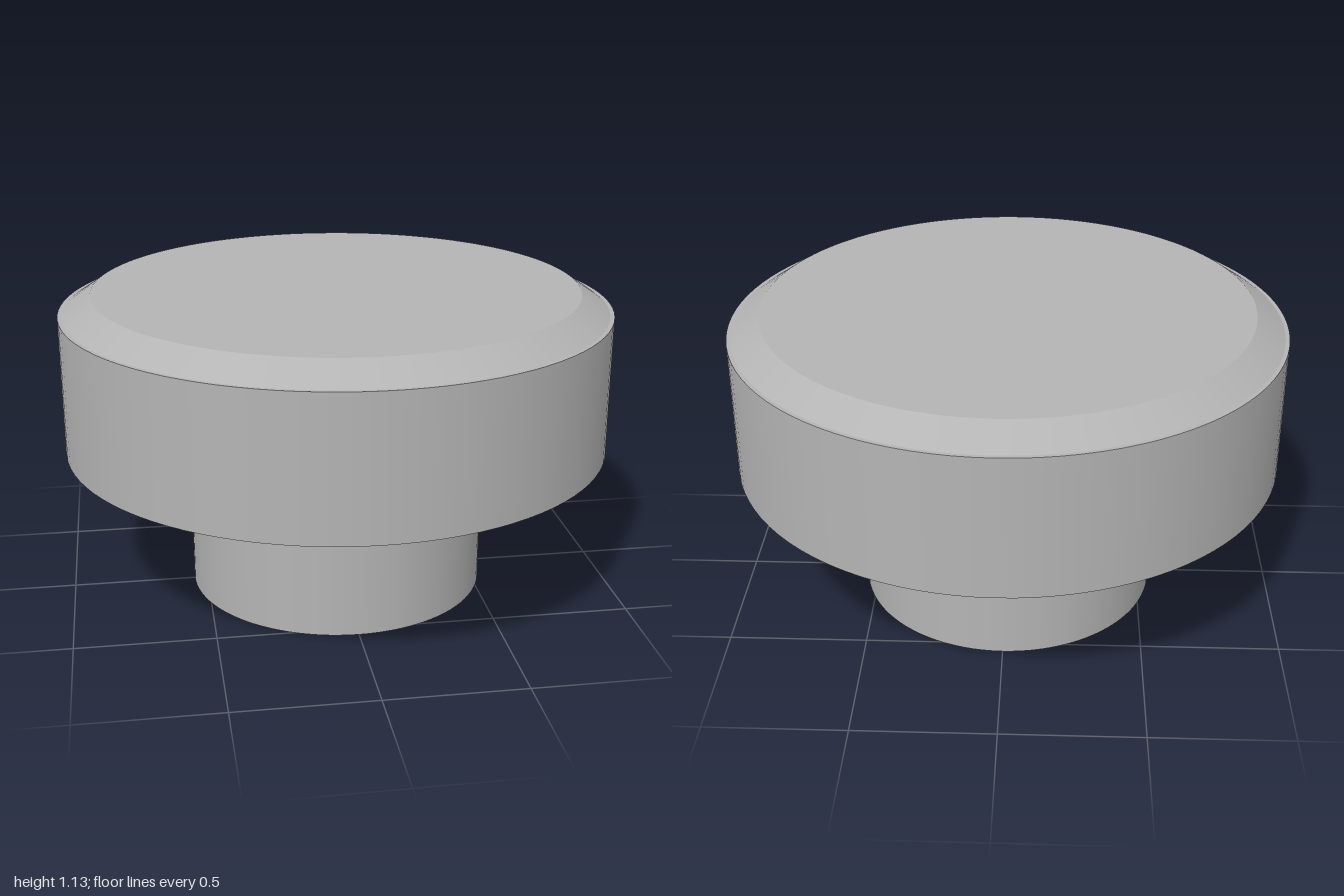
import * as THREE from 'three';

export function createModel() {
  const group = new THREE.Group();
  const grey = new THREE.MeshStandardMaterial({ color: 0xb4b4b4 });
  grey.name = 'plain grey';

  // Stacked round part: bottom y, top y, bottom radius, top radius
  const addDisc = (name, y0, y1, r0, r1) => {
    const mesh = new THREE.Mesh(new THREE.CylinderGeometry(r1, r0, y1 - y0, 96), grey);
    mesh.name = name;
    mesh.position.y = (y0 + y1) / 2;
    group.add(mesh);
  };

  addDisc('stem', 0, 0.553, 0.548, 0.548);
  addDisc('head', 0.553, 1.062, 1, 1);
  // Chamfered cap, set in slightly to leave a narrow ledge
  addDisc('chamferedCap', 1.062, 1.132, 0.985, 0.882);

  return group;
}
